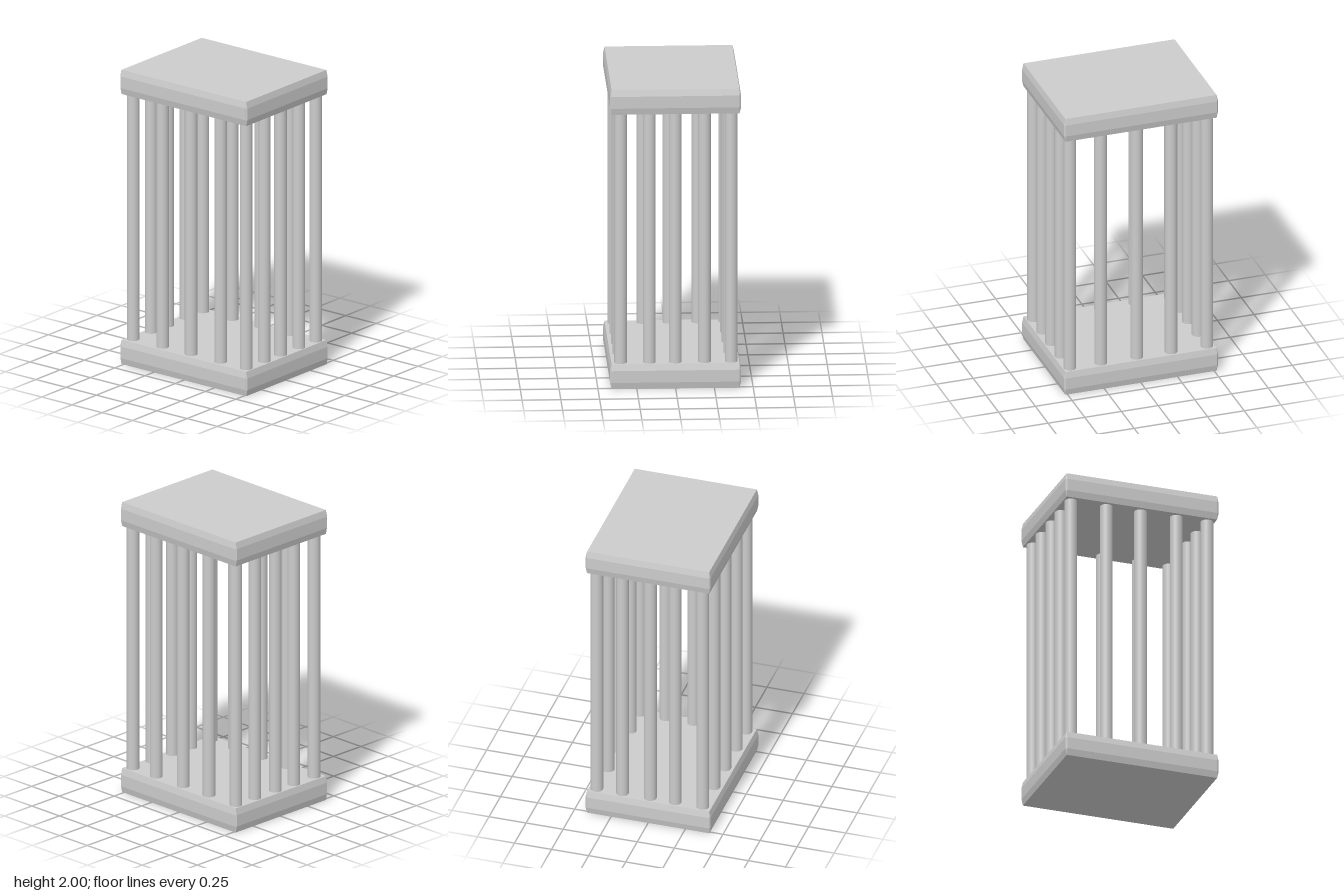
import * as THREE from 'three';

const material = new THREE.MeshStandardMaterial({ color: 0xcccccc, flatShading: true });
const barMaterial = new THREE.MeshStandardMaterial({ color: 0xcccccc });

const HALF_X = 0.515, HALF_Z = 0.412, BULGE = 0.01;
const SLAB = 0.165, HEIGHT = 2;

// Eight-point outline: a rectangle whose four sides are pushed out by b
function outline(y, b) {
  const x = HALF_X, z = HALF_Z;
  return [
    [x + b, y, z], [x + b, y, -z], [x, y, -z - b], [-x, y, -z - b],
    [-x - b, y, -z], [-x - b, y, z], [-x, y, z + b], [x, y, z + b],
  ];
}

// Slab with gently bulged sides, lofted through four outlines
function slabGeometry() {
  const rings = [[0, 0], [0.043, BULGE], [SLAB - 0.043, BULGE], [SLAB, 0]]
    .map(([y, b]) => outline(y, b));
  const pos = [];
  const tri = (a, b, c) => pos.push(...a, ...b, ...c);
  for (let r = 0; r < 3; r++) {
    for (let i = 0; i < 8; i++) {
      const j = (i + 1) % 8;
      const [a, b, c, d] = [rings[r][i], rings[r][j], rings[r + 1][j], rings[r + 1][i]];
      // corner strips taper to a point at the top and bottom outlines
      if (r === 2 && i % 2) tri(a, b, c);
      else if (r === 0 && i % 2) tri(a, c, d);
      else { tri(a, b, c); tri(a, c, d); }
    }
  }
  const [bottom, top] = [rings[0], rings[3]];
  tri(top[0], top[2], top[4]); tri(top[0], top[4], top[6]);
  tri(bottom[0], bottom[4], bottom[2]); tri(bottom[0], bottom[6], bottom[4]);
  const geo = new THREE.BufferGeometry();
  geo.setAttribute('position', new THREE.Float32BufferAttribute(pos, 3));
  geo.computeVertexNormals();
  return geo;
}

export function createModel() {
  const model = new THREE.Group();
  model.name = 'barredCage';

  // Base and roof slabs
  const slab = slabGeometry();
  for (const [name, y] of [['baseSlab', 0], ['roofSlab', HEIGHT - SLAB]]) {
    const mesh = new THREE.Mesh(slab, material);
    mesh.name = name;
    mesh.position.y = y;
    model.add(mesh);
  }

  // Round bars around the perimeter, five along each side
  const bars = new THREE.Group();
  bars.name = 'bars';
  const barGeo = new THREE.CylinderGeometry(0.041, 0.041, HEIGHT - 2 * SLAB + 0.02, 24);
  const xs = [-0.466, -0.223, 0.012, 0.257, 0.467];
  const zs = [-0.361, -0.188, 0, 0.167, 0.353];
  xs.forEach((x, i) => zs.forEach((z, k) => {
    if (i % 4 && k % 4) return; // perimeter only
    const bar = new THREE.Mesh(barGeo, barMaterial);
    bar.name = 'bar';
    bar.position.set(x, HEIGHT / 2, z);
    bars.add(bar);
  }));
  model.add(bars);
  return model;
}
